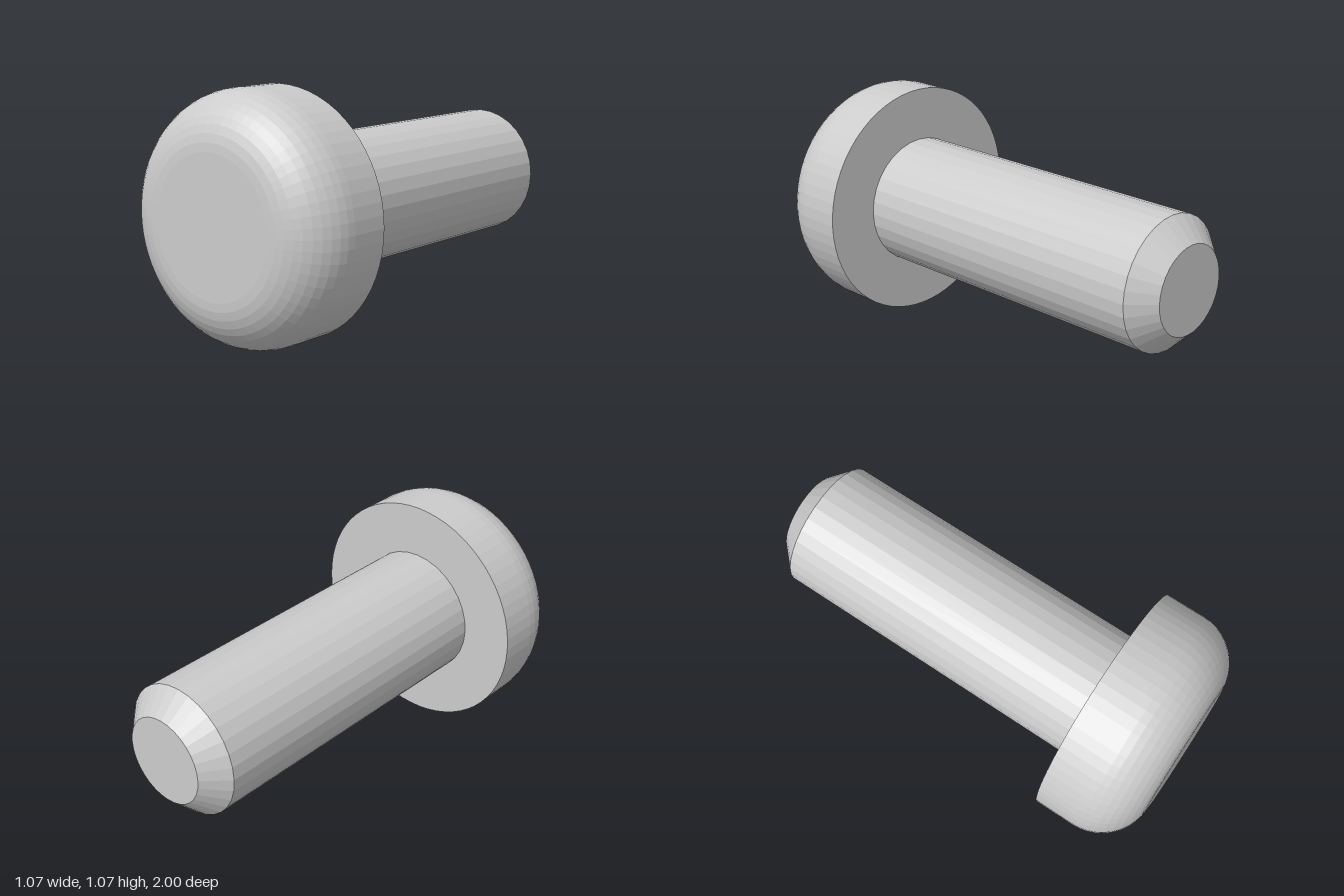
import * as THREE from 'three';

const AXIS_Y = 0.535;       // height of the bolt's axis
const HEAD_R = 0.533, HEAD_BACK = 0.585, FILLET = 0.235;
const SHAFT_R = 0.295, CHAMFER = 0.1;

// Revolve a [radius, z] profile, listed from back to front, around the z axis
function turned(name, profile, segments, material) {
  const points = profile.map(([r, z]) => new THREE.Vector2(r, z));
  const geometry = new THREE.LatheGeometry(points, segments);
  geometry.rotateX(Math.PI / 2);
  const mesh = new THREE.Mesh(geometry, material);
  mesh.name = name;
  mesh.position.y = AXIS_Y;
  return mesh;
}

export function createModel() {
  const group = new THREE.Group();
  group.name = 'bolt';
  const material = new THREE.MeshStandardMaterial({ color: 0xcccccc, flatShading: true });

  // Head: flat underside ring, straight rim, quarter-round edge, flat face
  const head = [[SHAFT_R - 0.005, HEAD_BACK], [HEAD_R, HEAD_BACK]];
  const steps = 10;
  for (let i = 0; i <= steps; i++) {
    const a = (i / steps) * Math.PI / 2;
    head.push([HEAD_R - FILLET + FILLET * Math.cos(a), 1 - FILLET + FILLET * Math.sin(a)]);
  }
  head.push([0, 1]);
  group.add(turned('head', head, 64, material));

  // Shaft: flat end, chamfered tip, straight shank up to the head
  const shaft = [
    [0, -1], [SHAFT_R - CHAMFER, -1], [SHAFT_R, -1 + CHAMFER], [SHAFT_R, HEAD_BACK],
  ];
  group.add(turned('shaft', shaft, 32, material));

  return group;
}
